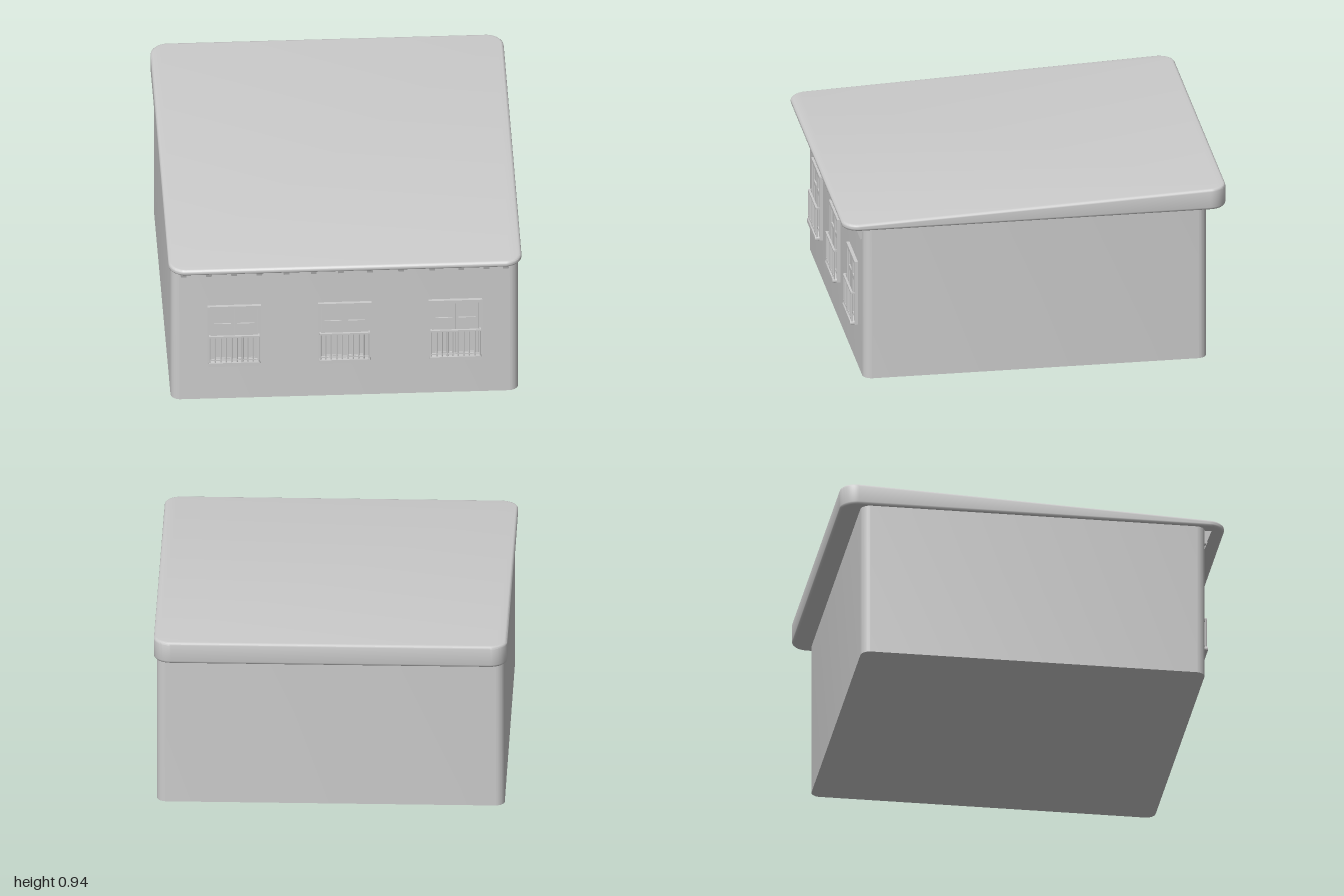
import * as THREE from 'three';
import { toCreasedNormals } from 'three/addons/utils/BufferGeometryUtils.js';

const material = new THREE.MeshStandardMaterial({ color: 0xcccccc });

function add(parent, name, geometry, x = 0, y = 0, z = 0) {
  const mesh = new THREE.Mesh(geometry, material);
  mesh.name = name;
  mesh.position.set(x, y, z);
  parent.add(mesh);
  return mesh;
}

// Box given by its limits
function bar(parent, name, x0, x1, y0, y1, z0, z1) {
  return add(parent, name, new THREE.BoxGeometry(x1 - x0, y1 - y0, z1 - z0),
    (x0 + x1) / 2, (y0 + y1) / 2, (z0 + z1) / 2);
}

function roundedRect(hw, hd, r) {
  const s = new THREE.Shape();
  s.absarc(hw - r, hd - r, r, 0, Math.PI / 2);
  s.absarc(-hw + r, hd - r, r, Math.PI / 2, Math.PI);
  s.absarc(-hw + r, -hd + r, r, Math.PI, Math.PI * 1.5);
  s.absarc(hw - r, -hd + r, r, Math.PI * 1.5, Math.PI * 2);
  s.closePath();
  return s;
}

// Upright slab with a rounded outline, bottom at y0 and top at y1
function slab(hw, hd, r, y0, y1, bevel) {
  const g = new THREE.ExtrudeGeometry(roundedRect(hw - bevel, hd - bevel, r - bevel), {
    depth: y1 - y0 - 2 * bevel, curveSegments: 8,
    bevelEnabled: bevel > 0, bevelSize: bevel, bevelThickness: bevel, bevelSegments: 3,
  });
  g.rotateX(-Math.PI / 2);
  g.translate(0, y0 + bevel, 0);
  return g;
}

// Roof: the upper half of the slab rises towards the back
function roofGeometry() {
  const g = slab(0.91, 1, 0.09, 0.828, 0.86, 0.014);
  const p = g.attributes.position;
  for (let i = 0; i < p.count; i++) {
    if (p.getY(i) > 0.844) p.setY(i, p.getY(i) + 0.0425 * (1 - p.getZ(i)));
  }
  return toCreasedNormals(g, 0.7);
}

// Eaves bracket, narrower and shallower at the foot
function corbelGeometry() {
  const g = new THREE.BoxGeometry(0.036, 0.072, 0.045);
  const p = g.attributes.position;
  for (let i = 0; i < p.count; i++) {
    if (p.getY(i) > 0) continue;
    p.setX(i, p.getX(i) * 0.8);
    if (p.getZ(i) > 0) p.setZ(i, -0.005);
  }
  g.computeVertexNormals();
  return g;
}

function createWindow() {
  const w = new THREE.Group();
  w.name = 'window';

  // Outer frame with an opening
  const frame = new THREE.Shape([
    [-0.138, 0.225], [0.138, 0.225], [0.138, 0.575], [-0.138, 0.575],
  ].map(([x, y]) => new THREE.Vector2(x, y)));
  frame.holes.push(new THREE.Path([
    [-0.12, 0.24], [-0.12, 0.557], [0.12, 0.557], [0.12, 0.24],
  ].map(([x, y]) => new THREE.Vector2(x, y))));
  add(w, 'windowFrame', new THREE.ExtrudeGeometry(frame, { depth: 0.022, bevelEnabled: false }), 0, 0, 0.89);

  // Two casements with a glazing bar each
  for (const s of [-1, 1]) {
    const edges = [s * 0.002, s * 0.118].sort((a, b) => a - b);
    const [a, b] = edges;
    bar(w, 'pane', a, b, 0.24, 0.557, 0.89, 0.897);
    bar(w, 'casementStile', a, a + 0.014, 0.24, 0.557, 0.89, 0.905);
    bar(w, 'casementStile', b - 0.014, b, 0.24, 0.557, 0.89, 0.905);
    for (const y of [0.24, 0.44, 0.545]) {
      bar(w, 'casementRail', a, b, y, y + (y === 0.44 ? 0.024 : 0.012), 0.89, 0.904);
    }
  }

  // Shallow balcony: floor, handrail and balusters
  const floor = new THREE.ExtrudeGeometry(roundedRect(0.134, 0.011, 0.01), {
    depth: 0.045, bevelEnabled: false, curveSegments: 4,
  });
  add(w, 'balconyFloor', toCreasedNormals(floor, 0.6), 0, 0.231, 0.89);
  bar(w, 'handrail', -0.13, 0.13, 0.394, 0.403, 0.92, 0.931);
  bar(w, 'lowerRail', -0.126, 0.126, 0.254, 0.26, 0.922, 0.929);
  for (const s of [-1, 1]) {
    bar(w, 'sideRail', s * 0.126 - 0.004, s * 0.126 + 0.004, 0.394, 0.403, 0.89, 0.93);
  }
  const count = 10;
  for (let i = 0; i < count; i++) {
    const x = -0.126 + (0.252 * i) / (count - 1);
    add(w, 'baluster', new THREE.CylinderGeometry(0.004, 0.004, 0.158, 8), x, 0.319, 0.9255);
  }
  return w;
}

export function createModel() {
  const house = new THREE.Group();
  house.name = 'house';

  add(house, 'walls', toCreasedNormals(slab(0.895, 0.895, 0.05, 0, 0.835, 0), 0.6));
  add(house, 'roof', roofGeometry());

  // Slightly uneven row of brackets under the front eaves
  const corbel = corbelGeometry();
  for (const x of [-0.83, -0.70, -0.57, -0.44, -0.30, -0.16, -0.02, 0.13, 0.29, 0.45, 0.60, 0.73, 0.83]) {
    add(house, 'corbel', corbel, x, 0.794, 0.9095);
  }

  for (const x of [-0.57, 0, 0.57]) {
    const w = createWindow();
    w.position.x = x;
    house.add(w);
  }
  return house;
}
